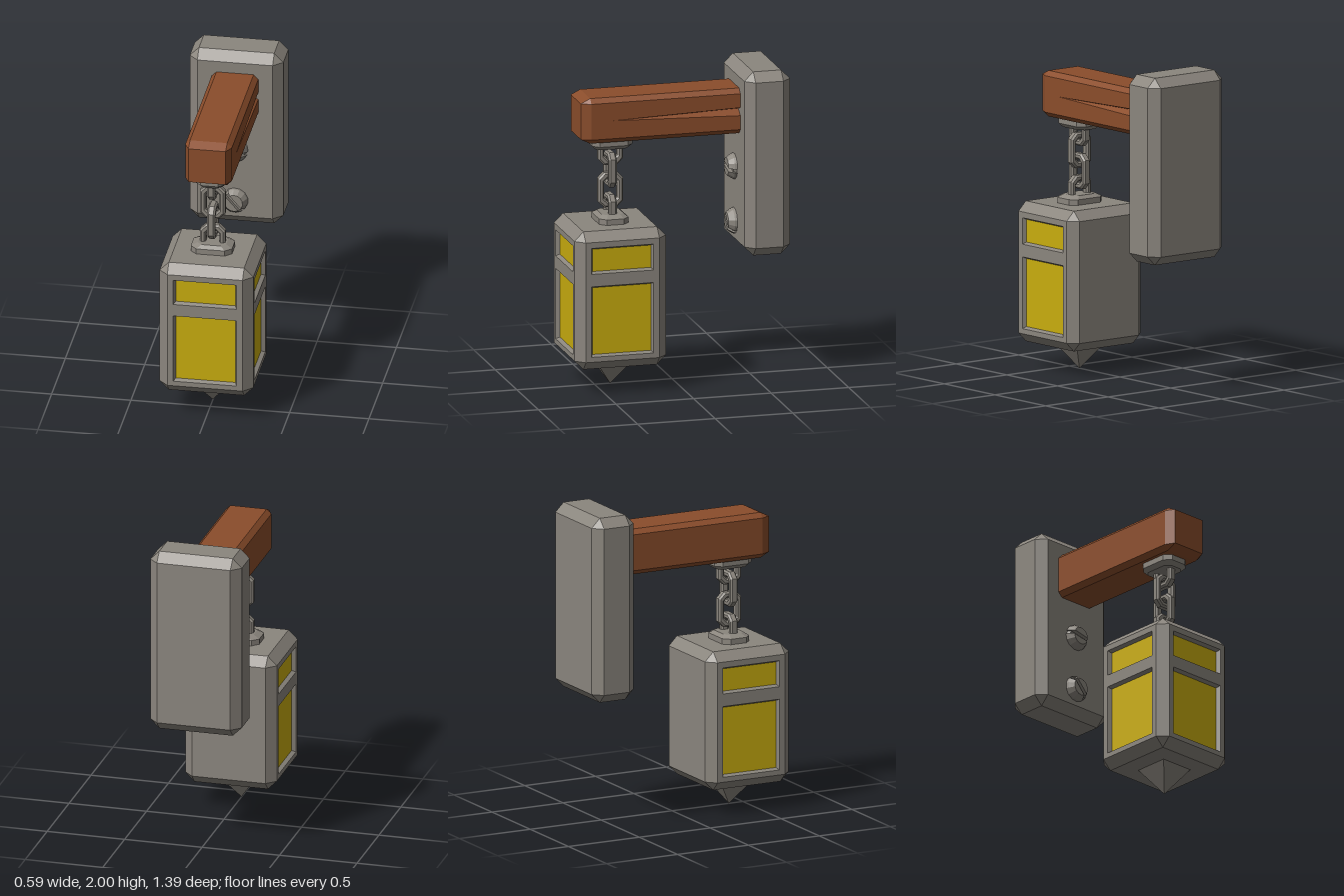
import * as THREE from 'three';

const stone = new THREE.MeshStandardMaterial({ color: 0x8b867e });
stone.name = 'grey stone metal';
const wood = new THREE.MeshStandardMaterial({ color: 0x8b4d2b });
wood.name = 'brown wood';
const glow = new THREE.MeshStandardMaterial({ color: 0xc9ad0e });
glow.name = 'yellow glass';

// Rectangle with cut corners, counter-clockwise, always eight points
function octagon(a, b, c) {
  return [[a, c - b], [a, b - c], [a - c, b], [c - a, b], [-a, b - c], [-a, c - b], [c - a, -b], [a - c, -b]];
}

// Lift a flat ring to 3D: standing rings (y axis) use u = z, v = x
const ringY = (pts, y) => pts.map(([u, v]) => new THREE.Vector3(v, y, u));
const ringZ = (pts, z) => pts.map(([u, v]) => new THREE.Vector3(u, v, z));

// Flat-faced skin over a series of rings; skip(band, side) leaves a face open
function loft(rings, caps = true, skip = () => false) {
  const pos = [];
  const tri = (a, b, c) => {
    const n = b.clone().sub(a).cross(c.clone().sub(a));
    if (n.length() > 1e-9) for (const p of [a, b, c]) pos.push(p.x, p.y, p.z);
  };
  const n = rings[0].length;
  for (let i = 0; i < rings.length - 1; i++) {
    for (let j = 0; j < n; j++) {
      if (skip(i, j)) continue;
      const k = (j + 1) % n, A = rings[i], B = rings[i + 1];
      tri(A[j], A[k], B[k]);
      tri(A[j], B[k], B[j]);
    }
  }
  if (caps) {
    const first = rings[0], last = rings[rings.length - 1];
    const mid = (r) => r.reduce((s, p) => s.add(p), new THREE.Vector3()).divideScalar(n);
    const m0 = mid(first), m1 = mid(last);
    for (let j = 0; j < n; j++) {
      const k = (j + 1) % n;
      tri(m0, first[k], first[j]);
      tri(m1, last[j], last[k]);
    }
  }
  const g = new THREE.BufferGeometry();
  g.setAttribute('position', new THREE.Float32BufferAttribute(pos, 3));
  g.computeVertexNormals();
  return g;
}

// Box with every edge chamfered, hx and hz are half sizes
function chamferBox(hx, hz, y0, y1, c, skip) {
  const full = octagon(hz, hx, c), inset = octagon(hz - c, hx - c, 0);
  return loft([ringY(inset, y0), ringY(full, y0 + c), ringY(full, y1 - c), ringY(inset, y1)], true, skip);
}

function add(parent, name, geometry, material, x = 0, y = 0, z = 0) {
  const m = new THREE.Mesh(geometry, material);
  m.name = name;
  m.position.set(x, y, z);
  parent.add(m);
  return m;
}

// Beam with bevelled front end and a tapering crack on its left side
function beamGeometry() {
  const a = 0.147, b = 0.145, c = 0.03;
  const section = (oct, lo, mid, hi, depth) => {
    const x = oct[0][0];
    return [oct[0], [x, lo], [x - depth, mid], [x, hi], ...oct.slice(1)];
  };
  const full = octagon(a, b, c), end = octagon(a - c, b - c, 0);
  return loft([
    ringZ(section(full, -0.026, 0.01, 0.026, 0.05), -0.41),
    ringZ(section(full, 0, 0, 0, 0), 0.42),
    ringZ(section(full, 0, 0, 0, 0), 0.56),
    ringZ(section(end, 0, 0, 0, 0), 0.62),
  ]);
}

// Chain link in the xy plane
function linkGeometry() {
  const toPath = (pts) => pts.map(([x, y]) => new THREE.Vector2(x, y));
  const shape = new THREE.Shape(toPath(octagon(0.08, 0.112, 0.038)));
  shape.holes.push(new THREE.Path(toPath(octagon(0.042, 0.073, 0.02)).reverse()));
  const g = new THREE.ExtrudeGeometry(shape, {
    depth: 0.03, bevelEnabled: true, bevelSegments: 1, bevelSize: 0.011, bevelThickness: 0.011, bevelOffset: -0.011,
  });
  g.translate(0, 0, -0.015);
  return g;
}

// Slotted screw head facing +z
function screw(name, tilt) {
  const group = new THREE.Group();
  group.name = name;
  const half = (r) => {
    const s = Math.asin(0.012 / r), pts = [];
    for (let i = 0; i <= 6; i++) {
      const t = s + (Math.PI - 2 * s) * i / 6;
      pts.push([r * Math.cos(t), r * Math.sin(t)]);
    }
    return pts;
  };
  const geo = loft([ringZ(half(0.083), 0), ringZ(half(0.08), 0.015), ringZ(half(0.056), 0.05)]);
  add(group, 'screwHalf', geo, stone);
  add(group, 'screwHalf', geo, stone).rotation.z = Math.PI;
  const floor = new THREE.CylinderGeometry(0.065, 0.075, 0.022, 12);
  floor.rotateX(Math.PI / 2);
  add(group, 'slotFloor', floor, stone, 0, 0, 0.011);
  group.rotation.z = tilt;
  return group;
}

// One lantern side: frame with two recessed panes
function windowSide(name, half, c) {
  const group = new THREE.Group();
  group.name = name;
  const w = half - c, depth = 0.025, bevel = 0.012;
  const rect = (hw, y0, y1) => [[hw, y0], [hw, y1], [-hw, y1], [-hw, y0]];
  const vec = (pts) => pts.map(([x, y]) => new THREE.Vector2(x, y));
  const frame = new THREE.Shape(vec(rect(w, 0.165 + c, 1.05 - c)));
  for (const [y0, y1] of [[0.255, 0.708], [0.788, 0.955]]) {
    const outer = rect(0.2, y0, y1);
    const inner = rect(0.2 - bevel, y0 + bevel, y1 - bevel);
    frame.holes.push(new THREE.Path(vec(outer).reverse()));
    add(group, 'paneRecess', loft([ringZ(outer, 0), ringZ(inner, -depth)], false), stone);
    const pane = new THREE.PlaneGeometry(2 * (0.2 - bevel), y1 - y0 - 2 * bevel);
    add(group, 'pane', pane, glow, 0, (y0 + y1) / 2, -depth);
  }
  add(group, 'windowFrame', new THREE.ShapeGeometry(frame), stone);
  return group;
}

export function createModel() {
  const model = new THREE.Group();
  model.name = 'wallLantern';

  // Wall bracket
  add(model, 'wallPlate', chamferBox(0.295, 0.1475, 0.82, 2, 0.058), stone, 0, 0, -0.5475);
  add(model, 'beam', beamGeometry(), wood, 0, 1.725, 0);
  [['upperScrew', 1.34, -0.2], ['lowerScrew', 0.99, -0.85]].forEach(([name, y, tilt]) => {
    const s = screw(name, tilt);
    s.position.set(0, y, -0.4);
    model.add(s);
  });

  // Everything that hangs below the beam end
  const hanging = new THREE.Group();
  hanging.name = 'hangingLantern';
  hanging.position.z = 0.4;
  model.add(hanging);

  // Mounting plates at both ends of the chain
  const topFull = octagon(0.13, 0.095, 0.04), topSmall = octagon(0.105, 0.07, 0.03);
  add(hanging, 'beamMount', loft([ringY(topSmall, 1.52), ringY(topFull, 1.545), ringY(topFull, 1.585)]), stone);
  const lowFull = octagon(0.095, 0.13, 0.04), lowSmall = octagon(0.07, 0.09, 0.03);
  add(hanging, 'lanternMount', loft([ringY(lowFull, 1.045), ringY(lowFull, 1.085), ringY(lowSmall, 1.105)]), stone);

  // Chain, every other link turned a quarter
  const link = linkGeometry();
  [1.52, 1.38, 1.248, 1.11].forEach((y, i) => {
    add(hanging, 'chainLink', link, stone, 0, y, 0).rotation.y = i % 2 ? 0 : Math.PI / 2;
  });

  // Lantern body, closed at the back and open where the windows sit
  const half = 0.295, c = 0.058;
  const open = (band, side) => band === 1 && [0, 2, 6].includes(side);
  add(hanging, 'lanternBody', chamferBox(half, half, 0.165, 1.05, c, open), stone);
  [['frontWindows', 0], ['leftWindows', 1], ['rightWindows', -1]].forEach(([name, turn]) => {
    const side = windowSide(name, half, c);
    const angle = turn * Math.PI / 2;
    side.rotation.y = angle;
    side.position.set(Math.sin(angle) * half, 0, Math.cos(angle) * half);
    hanging.add(side);
  });

  // Pointed finial
  const r = 0.115, tip = octagon(0, 0, 0);
  add(hanging, 'bottomSpike', loft([ringY(tip, 0), ringY(octagon(r, r, 0), 0.166)]), stone);

  return model;
}
